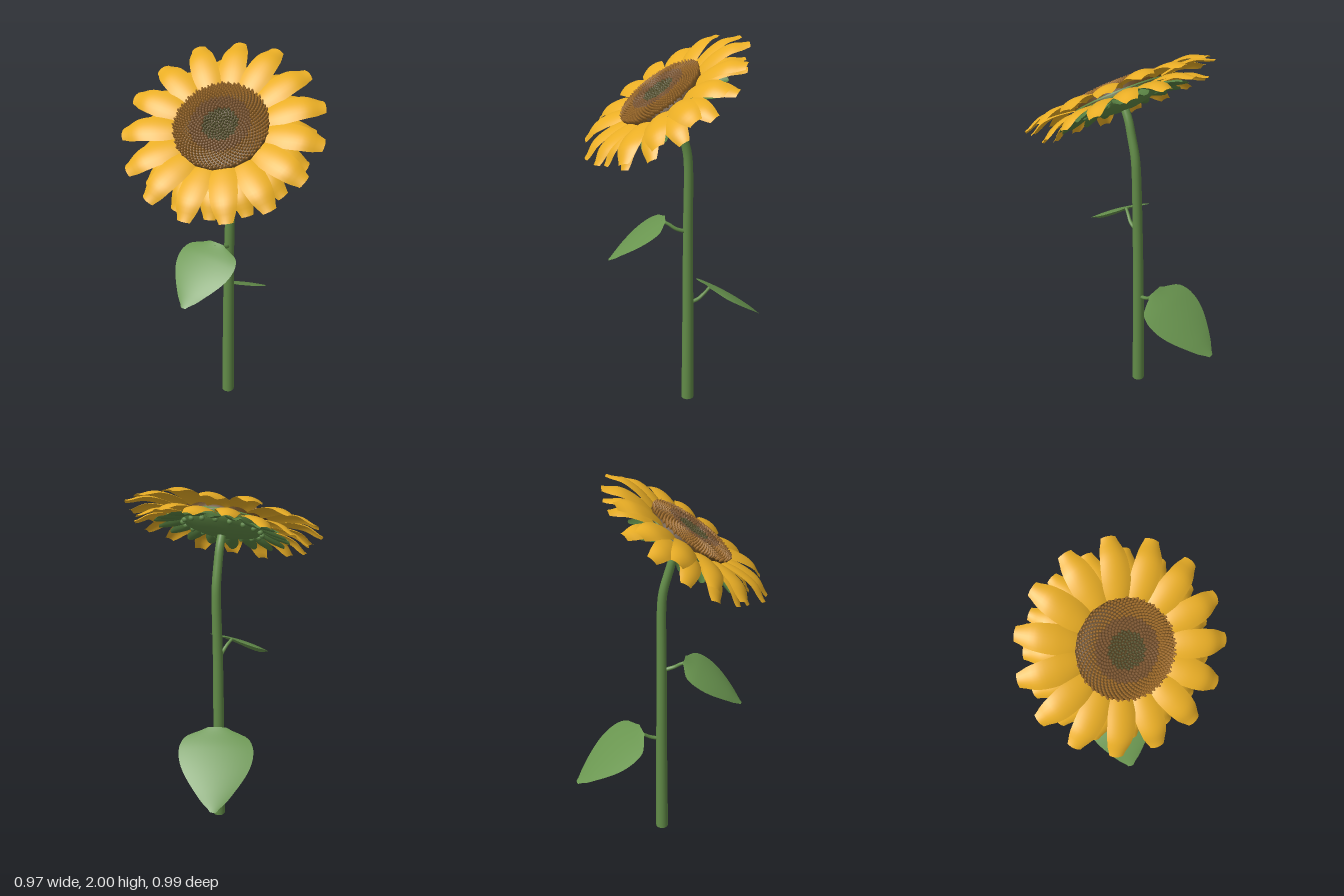
import * as THREE from 'three';
import { mergeGeometries } from 'three/addons/utils/BufferGeometryUtils.js';

const material = (color) => new THREE.MeshStandardMaterial({ color, side: THREE.DoubleSide });
const STEM = material(0x628c48), LEAF = material(0x6a9650), SEPAL = material(0x588042);
const PETAL = material(0xeaae25);

function add(parent, name, geometry, mat) {
  const mesh = new THREE.Mesh(geometry, mat);
  mesh.name = name;
  parent.add(mesh);
  return mesh;
}

// Curve through evenly spaced values, read at t = 0..1
function profile(values) {
  const curve = new THREE.SplineCurve(values.map((v, i) => new THREE.Vector2(i, v)));
  return (t) => curve.getPoint(t).y;
}

// Thin blade growing along -z: half width and height follow profiles, sides bend down by cup
function blade(length, halfWidth, widths, heights, cup, start = 0, nx = 8, ny = 16) {
  const g = new THREE.PlaneGeometry(1, 1, nx, ny);
  const w = profile(widths), h = profile(heights);
  const p = g.attributes.position;
  for (let i = 0; i < p.count; i++) {
    const s = p.getX(i) * 2, t = p.getY(i) + 0.5;
    const width = Math.max(0, w(t));
    // the end of the blade is slightly rounded
    const z = start + length * t - 0.012 * s * s * t * width;
    p.setXYZ(i, s * width * halfWidth, h(t) - cup * s * s * width, -z);
  }
  g.computeVertexNormals();
  return g;
}

// Tube through points, narrowing from r0 to r1
function taperedTube(points, r0, r1, segments, sides) {
  const path = new THREE.CatmullRomCurve3(points.map((a) => new THREE.Vector3(...a)));
  const g = new THREE.TubeGeometry(path, segments, r0, sides);
  const p = g.attributes.position, v = new THREE.Vector3();
  for (let i = 0; i < p.count; i++) {
    const t = Math.floor(i / (sides + 1)) / segments;
    const c = path.getPointAt(t);
    v.fromBufferAttribute(p, i).sub(c).multiplyScalar(1 + (r1 / r0 - 1) * t).add(c);
    p.setXYZ(i, v.x, v.y, v.z);
  }
  return g;
}

function addLeaf(parent, name, base, yaw, pitch, length, halfWidth, stalk) {
  const leaf = new THREE.Group();
  leaf.name = name;
  parent.add(leaf);
  add(leaf, name + 'Stalk', taperedTube(stalk, 0.011, 0.008, 12, 8), STEM);
  const widths = [0.25, 0.8, 0.97, 1, 0.96, 0.86, 0.71, 0.53, 0.33, 0.08];
  const mesh = add(leaf, name + 'Blade',
    blade(length, halfWidth, widths, [-0.006, 0.01, 0.016, 0.012, 0], 0.015, 0, 12, 28), LEAF);
  mesh.position.set(...base);
  mesh.rotation.set(pitch, yaw, 0, 'YXZ');
}

// Ring of equal blades around the head, with a slight variation in droop
function addRing(head, name, count, phase, geometry, mat, y) {
  for (let i = 0; i < count; i++) {
    const mesh = add(head, name, geometry, mat);
    mesh.position.y = y;
    mesh.rotation.set(0.015 * Math.sin(i * 2.7), -Math.PI / 2 - phase - (i / count) * Math.PI * 2,
      0.06 * Math.sin(i * 4.1), 'YXZ');
  }
}

// Flower disc: shallow dip in the middle, rounded rim
const discHeight = profile([0.038, 0.041, 0.046, 0.045, 0.033]);

// Seeds in a golden-angle spiral, in three zones
function addSeeds(head) {
  const seed = (radius, stretch) => new THREE.SphereGeometry(radius, 6, 4).scale(1, stretch, 1);
  const zones = [
    { name: 'centreSeeds', end: 0.38, mat: material(0x55502c), shape: seed(0.0072, 1.3) },
    { name: 'middleSeeds', end: 0.64, mat: material(0x7d5630), shape: seed(0.0085, 1.7) },
    { name: 'outerSeeds', end: 1, mat: material(0xa06c2a), shape: seed(0.0068, 2.6) },
  ];
  const count = 850;
  const buckets = zones.map(() => []);
  for (let i = 0; i < count; i++) {
    const f = Math.sqrt((i + 0.5) / count), a = i * 2.39996;
    const k = zones.findIndex((zone) => f <= zone.end);
    const g = zones[k].shape.clone();
    g.rotateZ(-0.35 * f * f);
    g.translate(0.224 * f, discHeight(f) + 0.005, 0);
    buckets[k].push(g.rotateY(a));
  }
  zones.forEach((zone, k) => add(head, zone.name, mergeGeometries(buckets[k]), zone.mat));
}

export function createModel() {
  const model = new THREE.Group();
  model.name = 'sunflower';

  // Stem, bending forward under the head
  add(model, 'stem', taperedTube([
    [-0.014, 0, -0.025], [-0.012, 0.5, -0.026], [-0.006, 1, -0.024], [0.004, 1.38, -0.022],
    [0.005, 1.45, -0.014], [0.005, 1.55, 0.013], [0.004, 1.62, 0.035], [0.002, 1.69, 0.075],
  ], 0.034, 0.021, 60, 16), STEM);
  const foot = add(model, 'stemFoot', new THREE.CircleGeometry(0.034, 16).rotateX(Math.PI / 2), STEM);
  foot.position.set(-0.014, 0.001, -0.025);

  // Leaves
  addLeaf(model, 'frontLeaf', [-0.036, 1.092, 0.095], Math.PI - 0.25, -0.665, 0.377, 0.163,
    [[-0.006, 1.01, -0.015], [-0.012, 1.03, 0.04], [-0.025, 1.055, 0.075], [-0.04, 1.072, 0.11]]);
  addLeaf(model, 'backLeaf', [-0.037, 0.678, -0.138], 0.25, -0.65, 0.454, 0.194,
    [[-0.011, 0.59, -0.03], [-0.015, 0.605, -0.085], [-0.025, 0.63, -0.125], [-0.04, 0.652, -0.16]]);

  // Flower head, tilted toward the front
  const head = new THREE.Group();
  head.name = 'flowerHead';
  head.position.set(0.004, 1.726, 0.101);
  head.rotation.x = 0.61;
  model.add(head);

  // Green back of the head
  const cup = [[0, -0.072], [0.06, -0.07], [0.12, -0.06], [0.18, -0.042], [0.22, -0.015], [0.225, 0.01], [0.2, 0.025]];
  add(head, 'headBack', new THREE.LatheGeometry(cup.map((a) => new THREE.Vector2(...a)), 40), STEM);

  // Brown disc and seeds
  const rim = [];
  for (let i = 0; i <= 10; i++) rim.push(new THREE.Vector2(0.0222 * i, discHeight(i / 10)));
  rim.push(new THREE.Vector2(0.224, 0));
  add(head, 'seedDisc', new THREE.LatheGeometry(rim, 40), material(0x5a3f1a));
  addSeeds(head);

  // Front petals arch outward; the shorter back petals show in the gaps and hang lower
  const frontPetal = blade(0.313, 0.066, [0.6, 0.82, 0.97, 1, 0.96, 0.82, 0.5],
    [0.012, 0.032, 0.042, 0.035, -0.002], 0.015, 0.175);
  const backPetal = blade(0.258, 0.06, [0.6, 0.82, 0.97, 1, 0.93, 0.74, 0.46],
    [0.008, 0.01, 0.006, -0.014, -0.058], 0.014, 0.175);
  addRing(head, 'frontPetal', 15, 0, frontPetal, PETAL, 0.003);
  addRing(head, 'backPetal', 15, Math.PI / 15, backPetal, PETAL, -0.012);

  // Sepals behind the petals, each with a small bump at its root
  const sepal = blade(0.15, 0.039, [0.7, 0.9, 1, 1, 0.92, 0.55], [0, -0.016, -0.028, -0.036, -0.042], -0.018, 0.185, 8, 10);
  addRing(head, 'sepal', 18, 0.1, sepal, SEPAL, -0.02);
  const bump = new THREE.SphereGeometry(0.014, 10, 8);
  for (let i = 0; i < 18; i++) {
    const a = 0.1 + (i / 18) * Math.PI * 2;
    add(head, 'sepalBump', bump, SEPAL).position.set(0.195 * Math.cos(a), -0.037, 0.195 * Math.sin(a));
  }
  return model;
}
